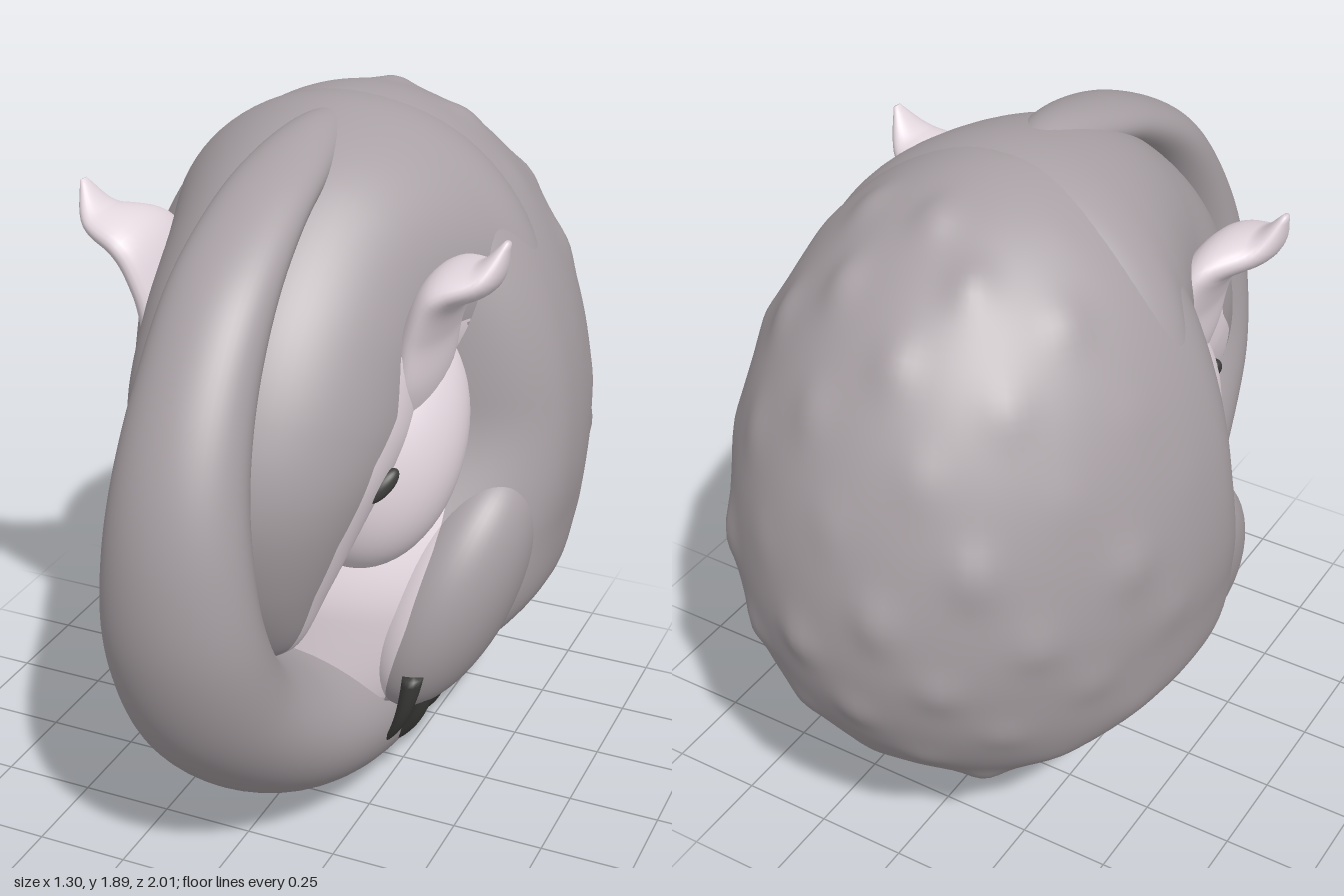
import * as THREE from 'three';
import { mergeVertices } from 'three/addons/utils/BufferGeometryUtils.js';

const V = (x = 0, y = 0, z = 0) => new THREE.Vector3(x, y, z);
const { smoothstep } = THREE.MathUtils;

// Piecewise linear lookup through [key, value] pairs with rising keys
function lookup(table, k) {
  const i = table.findIndex(r => r[0] >= k);
  if (i === 0) return table[0][1];
  if (i < 0) return table[table.length - 1][1];
  const [k0, v0] = table[i - 1], [k1, v1] = table[i];
  return v0 + (v1 - v0) * (k - k0) / (k1 - k0);
}

// Closed skin over elliptical rings; frame(t) gives centre c and half axes a, b
function loft(frame, steps, sides) {
  const pos = [], idx = [];
  for (let i = 0; i <= steps; i++) {
    const { c, a, b } = frame(i / steps);
    for (let j = 0; j < sides; j++) {
      const ang = j / sides * Math.PI * 2;
      pos.push(...c.clone().addScaledVector(a, Math.cos(ang)).addScaledVector(b, Math.sin(ang)).toArray());
    }
  }
  const f = frame(0.5), flip = f.a.clone().cross(f.b).dot(frame(0.52).c.sub(f.c)) < 0;
  const tri = (p, q, r) => (flip ? idx.push(p, r, q) : idx.push(p, q, r));
  const cap0 = pos.length / 3, cap1 = cap0 + 1;
  pos.push(...frame(0).c.toArray(), ...frame(1).c.toArray());
  for (let j = 0; j < sides; j++) {
    const k = (j + 1) % sides;
    for (let i = 0; i < steps; i++) {
      const p = i * sides, q = p + sides;
      tri(p + j, p + k, q + k);
      tri(p + j, q + k, q + j);
    }
    tri(cap0, k, j);
    tri(cap1, steps * sides + j, steps * sides + k);
  }
  const geo = new THREE.BufferGeometry();
  geo.setAttribute('position', new THREE.Float32BufferAttribute(pos, 3));
  geo.setIndex(idx);
  geo.computeVertexNormals();
  return geo;
}

// Rows of [outer z, outer y, inner z, inner y, half width] in the middle plane
function curledFrame(rows) {
  const outer = new THREE.CatmullRomCurve3(rows.map(r => V(r[4], r[1], r[0])));
  const inner = new THREE.CatmullRomCurve3(rows.map(r => V(0, r[3], r[2])));
  return t => {
    const o = outer.getPoint(t), i = inner.getPoint(t), w = o.x;
    o.x = i.x = 0;
    return { c: o.clone().add(i).multiplyScalar(0.5), a: V(w), b: o.sub(i).multiplyScalar(0.5) };
  };
}

// Cut a surface cleanly where field(point) = 0; the positive side gets the second material
function paint(geo, field) {
  const { position, normal } = geo.toNonIndexed().attributes, lists = [[], []];
  for (let i = 0; i < position.count; i += 3) {
    const tri = [i, i + 1, i + 2].map(k => {
      const p = V().fromBufferAttribute(position, k);
      return { p, n: V().fromBufferAttribute(normal, k), f: field(p) };
    });
    lists.forEach((list, second) => {
      const inside = v => (v.f > 0) === (second === 1), poly = [];
      tri.forEach((a, k) => {
        const b = tri[(k + 1) % 3], t = a.f / (a.f - b.f);
        if (inside(a)) poly.push(a);
        if (inside(a) !== inside(b)) poly.push({ p: a.p.clone().lerp(b.p, t), n: a.n.clone().lerp(b.n, t) });
      });
      for (let k = 1; k < poly.length - 1; k++) list.push(poly[0], poly[k], poly[k + 1]);
    });
  }
  const all = lists.flat(), out = new THREE.BufferGeometry();
  out.setAttribute('position', new THREE.Float32BufferAttribute(all.flatMap(v => v.p.toArray()), 3));
  out.setAttribute('normal', new THREE.Float32BufferAttribute(all.flatMap(v => v.n.toArray()), 3));
  out.addGroup(0, lists[0].length, 0);
  out.addGroup(lists[0].length, lists[1].length, 1);
  return out;
}

// Pale areas: belly with inner arms, and cheeks
const bellyEdge = [[0.3, 0.27], [0.4, 0.3], [0.6, 0.36], [0.8, 0.4], [1, 0.41]];
const belly = m => Math.min(m.z + 0.1, 1.2 - m.y, m.y - 0.2, lookup(bellyEdge, m.y) - Math.abs(m.x));
const cheekEdge = [[0.6, 0.5], [0.8, 0.535], [0.95, 0.525], [1.15, 0.45], [1.25, 0.36], [1.5, 0.3]];
const cheek = m => Math.min(1.4 - m.y, m.z - 0.03, lookup(cheekEdge, m.y) - m.z);

// Rounded back and flanks: a sphere with a flat front, a knobbly rear and hollow groins
function bodyGeometry() {
  const sphere = new THREE.SphereGeometry(1, 128, 96);
  sphere.deleteAttribute('uv');
  sphere.deleteAttribute('normal');
  const geo = mergeVertices(sphere, 1e-5), p = geo.attributes.position, u = V(), knobs = [];
  for (let i = 0; i < 110; i++) {
    const y = 1 - 2 * (i + 0.5) / 110, r = Math.sqrt(1 - y * y), a = i * 2.39996;
    knobs.push({ d: V(r * Math.cos(a), y, r * Math.sin(a)), h: 0.006 + 0.024 * ((i * 37 % 11) / 11) });
  }
  for (let i = 0; i < p.count; i++) {
    u.fromBufferAttribute(p, i);
    let y = 0.95 + u.y * (u.y > 0 ? 0.94 : 0.8), z;
    let x = 0.65 * u.x * (1 + 0.09 * smoothstep(-u.y, 0.2, 0.7));
    const s = Math.sqrt(Math.max(1e-6, 1 - u.y * u.y));
    if (u.z > 0) {
      const reach = (0.32 + 0.2 * (1 - smoothstep(y, 0.6, 1.15))) * Math.min(1, s * 1.6);
      z = -0.2 + reach * Math.pow(Math.min(1, u.z / s), 0.8);
    } else {
      let bump = -0.006;
      for (const k of knobs) bump += k.h * Math.exp((k.d.dot(u) - 1) * 300);
      bump = 1 + bump * smoothstep(-u.z, 0.05, 0.4);
      x *= bump;
      y = 0.95 + (y - 0.95) * bump;
      z = -0.2 + 0.8 * u.z * bump;
    }
    x *= 1 - 0.3 * Math.exp(-(((y - 0.35) / 0.12) ** 2) - ((z + 0.2) / 0.24) ** 2);
    p.setXYZ(i, x, y, z);
  }
  geo.computeVertexNormals();
  return geo;
}

export function createModel() {
  const group = new THREE.Group();
  const material = (name, color) => Object.assign(new THREE.MeshStandardMaterial({ color }), { name });
  const hide = material('greyHide', 0xa8a0a4);
  const skin = material('paleSkin', 0xe4d8df);
  const dark = material('darkHorn', 0x3e3e3c);
  const add = (name, geo, mat) => {
    const mesh = new THREE.Mesh(geo, mat);
    mesh.name = name;
    group.add(mesh);
  };
  const ball = (c, r, turn) => new THREE.SphereGeometry(1, 48, 32)
    .applyMatrix4(new THREE.Matrix4().compose(V(...c), turn, V(...r)));
  const turned = (x, z) => new THREE.Quaternion().setFromEuler(new THREE.Euler(x, 0, z));

  add('body', paint(bodyGeometry(), belly), [hide, skin]);

  // Neck and head, bowed forward and down
  add('head', paint(loft(curledFrame([
    [-0.5, 1.76, -0.4, 0.75, 0.42], [-0.2, 1.885, -0.25, 0.65, 0.565], [0, 1.88, -0.2, 0.88, 0.49],
    [0.26, 1.79, -0.08, 1, 0.4], [0.54, 1.55, -0.06, 1.05, 0.37], [0.69, 1.3, 0, 1.02, 0.355],
    [0.74, 1.08, 0.12, 0.95, 0.31], [0.68, 0.82, 0.28, 0.75, 0.22], [0.56, 0.61, 0.38, 0.59, 0.13],
    [0.48, 0.53, 0.44, 0.54, 0.03],
  ]), 110, 88), cheek), [hide, skin]);

  // Tail, sweeping under the belly and up over the face to the crown
  add('tail', loft(curledFrame([
    [-0.72, 0.52, -0.3, 0.75, 0.2], [-0.5, 0.18, -0.25, 0.6, 0.35], [-0.2, 0.03, -0.1, 0.5, 0.33],
    [0.1, 0.005, 0.08, 0.47, 0.31], [0.4, 0.09, 0.25, 0.48, 0.29], [0.66, 0.25, 0.4, 0.53, 0.26],
    [0.87, 0.48, 0.57, 0.66, 0.225], [0.98, 0.75, 0.69, 0.87, 0.21], [0.998, 1, 0.71, 1.04, 0.19],
    [0.955, 1.22, 0.69, 1.2, 0.17], [0.845, 1.44, 0.62, 1.38, 0.152], [0.67, 1.645, 0.5, 1.56, 0.14],
    [0.45, 1.78, 0.34, 1.68, 0.125], [0.25, 1.85, 0.18, 1.74, 0.11], [0.05, 1.885, 0.02, 1.77, 0.08],
    [-0.15, 1.87, -0.15, 1.8, 0.03],
  ]), 120, 48), hide);

  for (const [side, s] of [['left', 1], ['right', -1]]) {
    add(side + 'Cheek', ball([s * 0.19, 1.1, 0.13], [0.26, 0.38, 0.235], turned(-0.35, 0)), skin);
    add(side + 'Arm', paint(ball([s * 0.41, 0.63, 0.05], [0.16, 0.37, 0.22], turned(-0.35, -s * 0.33)), belly), [hide, skin]);
    const slant = new THREE.Quaternion().setFromUnitVectors(V(0, 0, 1), V(s * 0.035, 0.045, -0.035).normalize());
    add(side + 'Eye', ball([s * 0.325, 1.06, 0.375], [0.026, 0.026, 0.058], slant), dark);

    // Ear: a flattened horn rising from the cheek, curving outward and up
    const spine = new THREE.CatmullRomCurve3([
      V(s * 0.28, 1.1, 0.15), V(s * 0.345, 1.3, 0.16), V(s * 0.375, 1.44, 0.165),
      V(s * 0.43, 1.55, 0.19), V(s * 0.53, 1.6, 0.22), V(s * 0.58, 1.69, 0.22)]);
    const size = new THREE.CatmullRomCurve3([
      V(0.1, 0.05), V(0.155, 0.06), V(0.165, 0.055), V(0.15, 0.055), V(0.085, 0.04), V(0.012, 0.008)]);
    add(side + 'Ear', loft(t => {
      const d = spine.getTangent(t), r = size.getPoint(t);
      return { c: spine.getPoint(t), a: V(0, 0, r.x), b: V(-d.y, d.x).normalize().multiplyScalar(r.y) };
    }, 36, 28), skin);

    // Three curved claws on each paw
    [[0.27, 0.46, 0.22, 0.2], [0.17, 0.39, 0.1, 0.12], [0.07, 0.36, 0, 0.155]].forEach(([z0, y0, z1, y1], i) => {
      const path = new THREE.QuadraticBezierCurve3(V(s * 0.38, y0, z0),
        V(s * 0.355, (y0 + y1) / 2 - 0.03, (z0 + z1) / 2 + 0.02), V(s * (0.25 + (y1 - 0.12) * 0.4), y1, z1));
      add(side + 'Claw' + (i + 1), loft(t => {
        const r = 0.034 * Math.pow(1 - t, 0.6) + 0.002;
        return { c: path.getPoint(t), a: V(r * 0.8), b: V(0, 0, r) };
      }, 14, 12), dark);
    });
  }
  return group;
}
